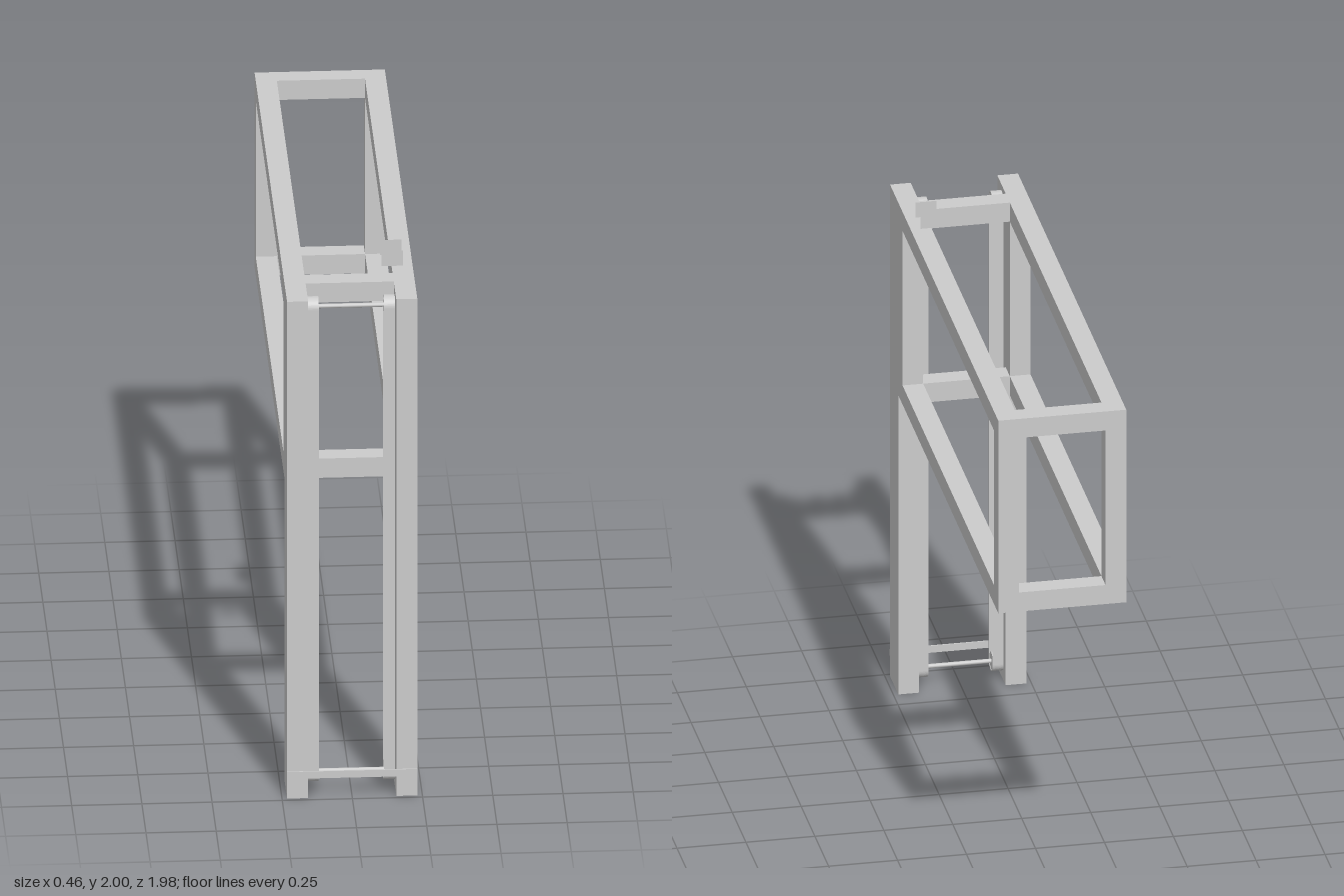
import * as THREE from 'three';

const OUT = 0.232, BAR = 0.075, IN = OUT - BAR;
const FRONT = 0.985, BACK = -0.988, POST = 0.832;   // z of post front, frame back, post back
const TOP = 1.94, LOW = 1.18;                       // y of frame top and underside

const grey = new THREE.MeshStandardMaterial({ color: 0xcccccc });
const thin = new THREE.MeshStandardMaterial({ color: 0xcccccc, side: THREE.DoubleSide });

function add(parent, name, geometry, x = 0, y = 0, z = 0, material = grey) {
  const mesh = new THREE.Mesh(geometry, material);
  mesh.name = name;
  mesh.position.set(x, y, z);
  parent.add(mesh);
  return mesh;
}

// Extrude a (z, y) profile along x, centred on x = 0
function sideExtrude(shape, width) {
  const g = new THREE.ExtrudeGeometry(shape, { depth: width, bevelEnabled: false, curveSegments: 12 });
  return g.translate(0, 0, -width / 2).rotateY(-Math.PI / 2);
}

const polygon = (pts) => pts.map(([z, y]) => new THREE.Vector2(z, y));

// Stadium outline running around two pulleys
function loop(path, z, y0, y1, r) {
  path.absarc(z, y1, r, 0, Math.PI, false);
  path.absarc(z, y0, r, Math.PI, Math.PI * 2, false);
  path.closePath();
  return path;
}

export function createModel() {
  const model = new THREE.Group();
  model.name = 'liftFrame';

  // Side frames: tall post joined to a rectangular window of bars
  const side = new THREE.Shape(polygon([
    [FRONT, 0], [FRONT, TOP], [BACK, TOP], [BACK, LOW], [POST, LOW], [POST, 0],
  ]));
  const z0 = BACK + BAR, z1 = POST - BAR, y0 = LOW + BAR, y1 = TOP - BAR;
  side.holes.push(new THREE.Path(polygon([[z0, y0], [z1, y0], [z1, y1], [z0, y1]])));
  const sideGeometry = sideExtrude(side, BAR);

  // Belt loop and its pulleys
  const axleZ = 0.9, axleLow = 0.068, axleHigh = 1.882, beltX = 0.136;
  const belt = loop(new THREE.Shape(), axleZ, axleLow, axleHigh, 0.037);
  belt.holes.push(loop(new THREE.Path(), axleZ, axleLow, axleHigh, 0.033));
  const beltGeometry = sideExtrude(belt, 0.04);
  const pulley = new THREE.CylinderGeometry(0.033, 0.033, 0.036, 24).rotateZ(Math.PI / 2);
  const axle = new THREE.CylinderGeometry(0.008, 0.008, IN * 2, 12).rotateZ(Math.PI / 2);

  for (const s of [1, -1]) {
    const label = s > 0 ? 'left' : 'right';
    add(model, label + 'SideFrame', sideGeometry, s * (OUT - BAR / 2));
    add(model, label + 'Belt', beltGeometry, s * beltX);
    for (const y of [axleLow, axleHigh]) add(model, label + 'Pulley', pulley, s * beltX, y, axleZ);
  }
  for (const y of [axleLow, axleHigh]) add(model, 'axle', axle, 0, y, axleZ);

  // Cross bars tying the two sides together
  const cross = new THREE.BoxGeometry(IN * 2, BAR, BAR);
  for (const y of [LOW + BAR / 2, TOP - BAR / 2])
    for (const z of [BACK + BAR / 2, POST - BAR / 2]) add(model, 'crossBar', cross, 0, y, z);

  // Flat strip across the feet of the posts
  add(model, 'frontStrip', new THREE.BoxGeometry(OUT * 2, 0.027, 0.005), 0, 0.092, FRONT + 0.0025);

  // Open sheet bracket on the left top rail
  const bracket = new THREE.Group();
  bracket.name = 'bracket';
  bracket.position.set(0.159, TOP + 0.001, 0.653);
  model.add(bracket);
  const w = 0.076, d = 0.094, h = 0.059;
  add(bracket, 'bracketBase', new THREE.PlaneGeometry(w, d).rotateX(-Math.PI / 2), 0, 0, 0, thin);
  for (const s of [1, -1])
    add(bracket, 'bracketWall', new THREE.PlaneGeometry(w, h), 0, h / 2, s * d / 2, thin);

  return model;
}
